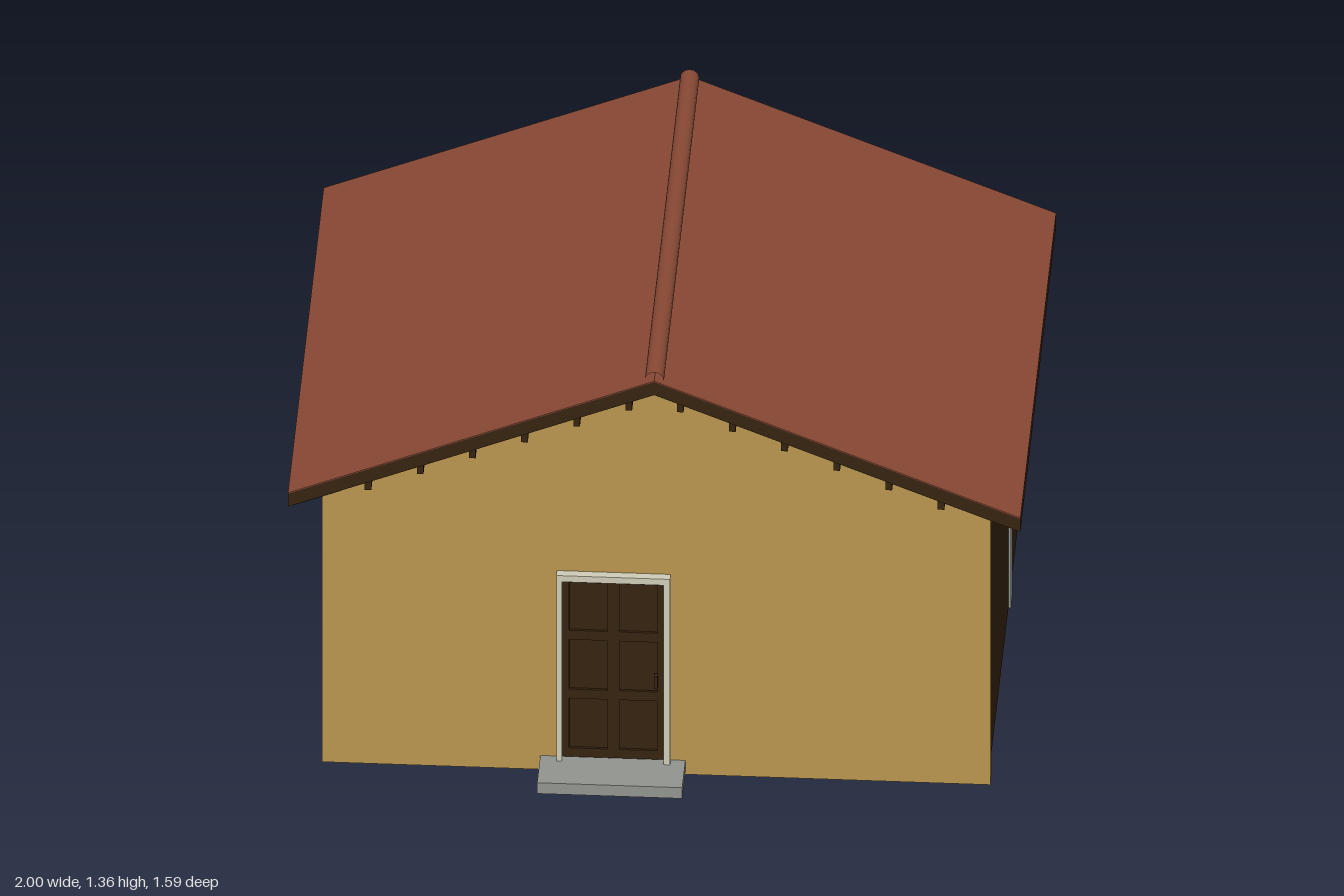
import * as THREE from 'three';

export function createModel() {
  const model = new THREE.Group();
  const mat = (name, color, side = THREE.FrontSide) => {
    const m = new THREE.MeshStandardMaterial({ color, side });
    m.name = name;
    return m;
  };
  const plaster = mat('ochre plaster', 0xb9964f);
  const wood = mat('dark wood', 0x36230f);
  const tile = mat('roof tile', 0x8a4a35, THREE.DoubleSide);
  const stone = mat('grey stone', 0x92948f);
  const cream = mat('cream trim', 0xcfccb8);

  const add = (name, geometry, material, parent = model) => {
    const mesh = new THREE.Mesh(geometry, material);
    mesh.name = name;
    parent.add(mesh);
    return mesh;
  };
  // box given by its limits on each axis
  const box = (name, material, x0, x1, y0, y1, z0, z1, parent = model) => {
    const g = new THREE.BoxGeometry(x1 - x0, y1 - y0, z1 - z0);
    g.translate((x0 + x1) / 2, (y0 + y1) / 2, (z0 + z1) / 2);
    return add(name, g, material, parent);
  };
  const outline = pts => pts.map(p => new THREE.Vector2(...p));
  const slab = (name, material, shape, z0, z1) => {
    const g = new THREE.ExtrudeGeometry(shape, { depth: z1 - z0, bevelEnabled: false });
    g.translate(0, 0, z0);
    return add(name, g, material);
  };

  const slope = 0.403, ridge = 1.33, under = 1.285;
  const roofLine = (top, x) => top - slope * Math.abs(x);

  // gable walls
  const gable = (w, top) => new THREE.Shape(outline([
    [-w, 0.01], [w, 0.01], [w, roofLine(top, w)], [0, top], [-w, roofLine(top, w)]]));
  const front = gable(0.91, under + 0.003);
  front.holes.push(new THREE.Path(outline([[-0.265, 0.05], [-0.265, 0.65], [0.035, 0.65], [0.035, 0.05]])));
  slab('frontWall', plaster, front, 0.615, 0.66);
  slab('backWall', wood, gable(0.903, under + 0.003), -0.707, -0.665);

  // side walls with posts and wall plates
  for (const s of [1, -1]) {
    const side = new THREE.Group();
    side.name = s > 0 ? 'leftWall' : 'rightWall';
    model.add(side);
    const sideBox = (name, m, a, b, ...rest) =>
      box(name, m, Math.min(s * a, s * b), Math.max(s * a, s * b), ...rest, side);
    sideBox('sidePanel', wood, 0.86, 0.903, 0.01, 0.915, -0.7, 0.615);
    const mid = s > 0 ? -0.255 : 0.205;
    sideBox('middlePost', stone, 0.875, 0.91, 0.012, 0.9, mid - 0.031, mid + 0.031);
    sideBox('frontPost', stone, 0.875, 0.91, 0.012, 0.9, 0.602, 0.615);
    sideBox('backPost', stone, 0.855, 0.91, 0.012, 0.9, -0.715, -0.655);
    sideBox('wallPlate', stone, 0.875, 0.909, 0.878, 0.918, -0.714, 0.615);
  }
  box('backMiddlePost', stone, -0.03, 0.03, 0.012, 0.9, -0.715, -0.68);
  box('backBeam', stone, -0.87, 0.87, 0.878, 0.93, -0.714, -0.68);

  // roof: timber deck with a thin tile skin
  const chevron = (top, thick) => new THREE.Shape(outline([
    [0, top], [-0.997, roofLine(top, 0.997)], [-0.997, roofLine(top - thick, 0.997)],
    [0, top - thick], [0.997, roofLine(top - thick, 0.997)], [0.997, roofLine(top, 0.997)]]));
  slab('roofDeck', wood, chevron(ridge - 0.003, 0.042), -0.79, 0.74);
  slab('roofTiles', tile, chevron(ridge, 0.003), -0.79, 0.74);

  // ridge cap, an open half round
  const cap = new THREE.CylinderGeometry(0.026, 0.026, 1.52, 8, 1, true, -Math.PI / 2, Math.PI);
  cap.rotateX(-Math.PI / 2);
  cap.computeBoundingBox();
  if (cap.boundingBox.max.y < 0.02) cap.rotateZ(Math.PI);
  cap.translate(0, 1.329, -0.025);
  add('ridgeCap', cap, tile);

  const angle = Math.atan(slope);
  for (const s of [1, -1]) {
    // purlins show their ends under the gables
    for (let i = 0; i < 6; i++) {
      const x = s * (0.07 + i * 0.142), y = roofLine(under, x);
      box('purlin', wood, x - 0.009, x + 0.009, y - 0.034, y + 0.01, -0.775, 0.725);
    }
    // rafter tails under the eaves
    for (let i = 0; i < 12; i++) {
      const tail = add('rafterTail', new THREE.BoxGeometry(0.14, 0.036, 0.018), wood);
      tail.position.set(s * 0.926, roofLine(under, 0.926) - 0.013, 0.68 - i * 0.1282);
      tail.rotation.z = -s * angle;
    }
  }

  // door frame lining the opening
  box('frameTop', cream, -0.27, 0.04, 0.635, 0.655, 0.61, 0.685);
  box('frameSide', cream, -0.27, -0.255, 0.05, 0.635, 0.61, 0.685);
  box('frameSide', cream, 0.022, 0.04, 0.05, 0.635, 0.61, 0.685);

  // door with raised rails and stiles
  const door = new THREE.Group();
  door.name = 'door';
  model.add(door);
  box('doorLeaf', wood, -0.255, 0.022, 0.05, 0.635, 0.62, 0.648, door);
  for (const [a, b] of [[-0.255, -0.237], [-0.133, -0.1], [0.004, 0.022]])
    box('doorStile', wood, a, b, 0.05, 0.635, 0.648, 0.656, door);
  for (const [a, b] of [[0.05, 0.08], [0.24, 0.27], [0.43, 0.46], [0.615, 0.635]])
    box('doorRail', wood, -0.237, 0.004, a, b, 0.648, 0.655, door);
  box('doorHandle', wood, -0.005, 0.005, 0.29, 0.33, 0.655, 0.672, door);

  // doorstep
  box('stepTread', stone, -0.315, 0.08, 0.02, 0.055, 0.66, 0.797);
  box('stepBase', stone, -0.305, 0.07, 0, 0.02, 0.66, 0.74);

  return model;
}
